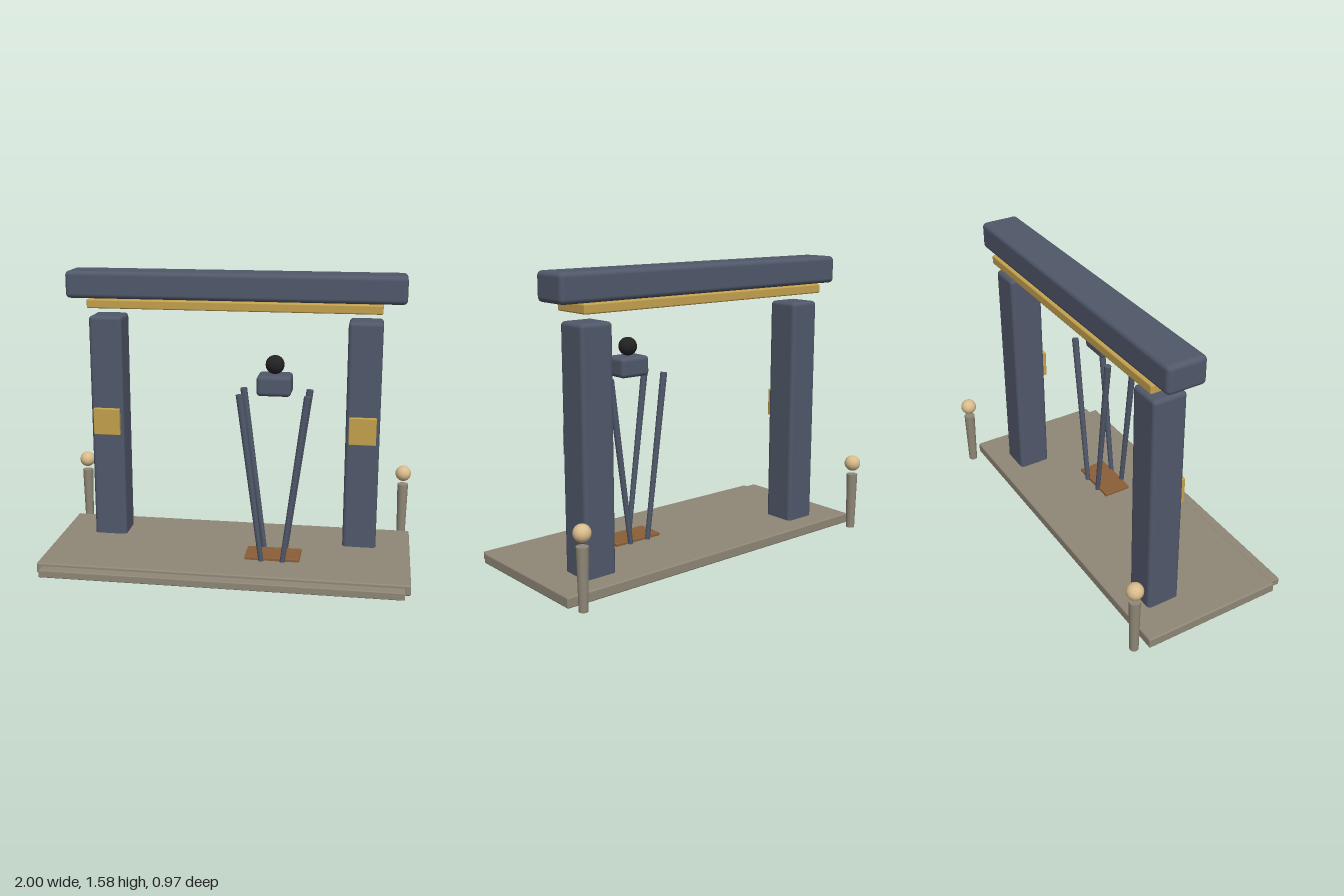
import * as THREE from 'three';
import { RoundedBoxGeometry } from 'three/addons/geometries/RoundedBoxGeometry.js';

const mat = (color) => new THREE.MeshStandardMaterial({ color });

export function createModel() {
  const group = new THREE.Group();
  const slate = mat(0x50586a), gold = mat(0xc4a24e), stone = mat(0x8f8777);
  const lamp = mat(0xd8bc8c), wood = mat(0x8a6038), black = mat(0x222222);

  const add = (name, geometry, material) => {
    const mesh = new THREE.Mesh(geometry, material);
    mesh.name = name;
    group.add(mesh);
    return mesh;
  };
  // Box given by its extents on each axis, with rounded edges
  const box = (name, [x0, x1], [y0, y1], [z0, z1], radius, material) => {
    const g = new RoundedBoxGeometry(x1 - x0, y1 - y0, z1 - z0, 3, radius);
    add(name, g, material).position.set((x0 + x1) / 2, (y0 + y1) / 2, (z0 + z1) / 2);
  };
  // Tapered rod between two points
  const rod = (name, a, b, ra, rb, sides, material) => {
    const dir = b.clone().sub(a);
    const mesh = add(name, new THREE.CylinderGeometry(rb, ra, dir.length(), sides), material);
    mesh.position.copy(a).add(b).multiplyScalar(0.5);
    mesh.quaternion.setFromUnitVectors(new THREE.Vector3(0, 1, 0), dir.normalize());
  };
  const ball = (name, r, x, y, z, material) =>
    add(name, new THREE.SphereGeometry(r, 24, 16), material).position.set(x, y, z);

  // Platform with a low front step
  box('platform', [-1, 1], [0.005, 0.062], [-0.375, 0.42], 0.008, stone);
  box('frontStep', [-0.97, 0.97], [0.005, 0.046], [0.3, 0.48], 0.005, stone);
  box('floorInlay', [-0.46, 0.46], [0.003, 0.03], [-0.23, 0.03], 0.003, gold);

  // Gateway: lintel and its trim
  box('lintel', [-0.933, 0.93], [1.433, 1.583], [-0.275, -0.06], 0.025, slate);
  box('lintelTrim', [-0.81, 0.805], [1.382, 1.432], [-0.28, -0.052], 0.008, gold);

  for (const s of [-1, 1]) {
    // Pillars with plaques
    const x = s * 0.717;
    box('pillar', [x - 0.093, x + 0.093], [0.003, 1.335], [-0.258, -0.072], 0.022, slate);
    box('plaque', [x - 0.075, x + 0.075], [0.663, 0.815], [-0.085, -0.05], 0.004, gold);

    // Rear lamp posts
    rod('lampPost', new THREE.Vector3(s * 0.955, 0.005, -0.44),
      new THREE.Vector3(s * 0.955, 0.328, -0.44), 0.024, 0.031, 16, stone);
    ball('lamp', 0.045, s * 0.955, 0.393, -0.44, lamp);

    // Splayed rods rising from the small stand
    for (const z of [0.034, 0.202]) {
      rod('standRod', new THREE.Vector3(0.255 + s * 0.058, 0.06, z),
        new THREE.Vector3(0.255 + s * 0.179, 0.985, z), 0.014, 0.019, 12, slate);
    }
  }

  // Stand plate, floating block and ball
  box('standPlate', [0.105, 0.405], [0.058, 0.078], [0.038, 0.2], 0.004, wood);
  box('block', [0.163, 0.345], [0.976, 1.085], [0.045, 0.195], 0.022, slate);
  ball('blockBall', 0.05, 0.254, 1.135, 0.12, black);

  return group;
}
